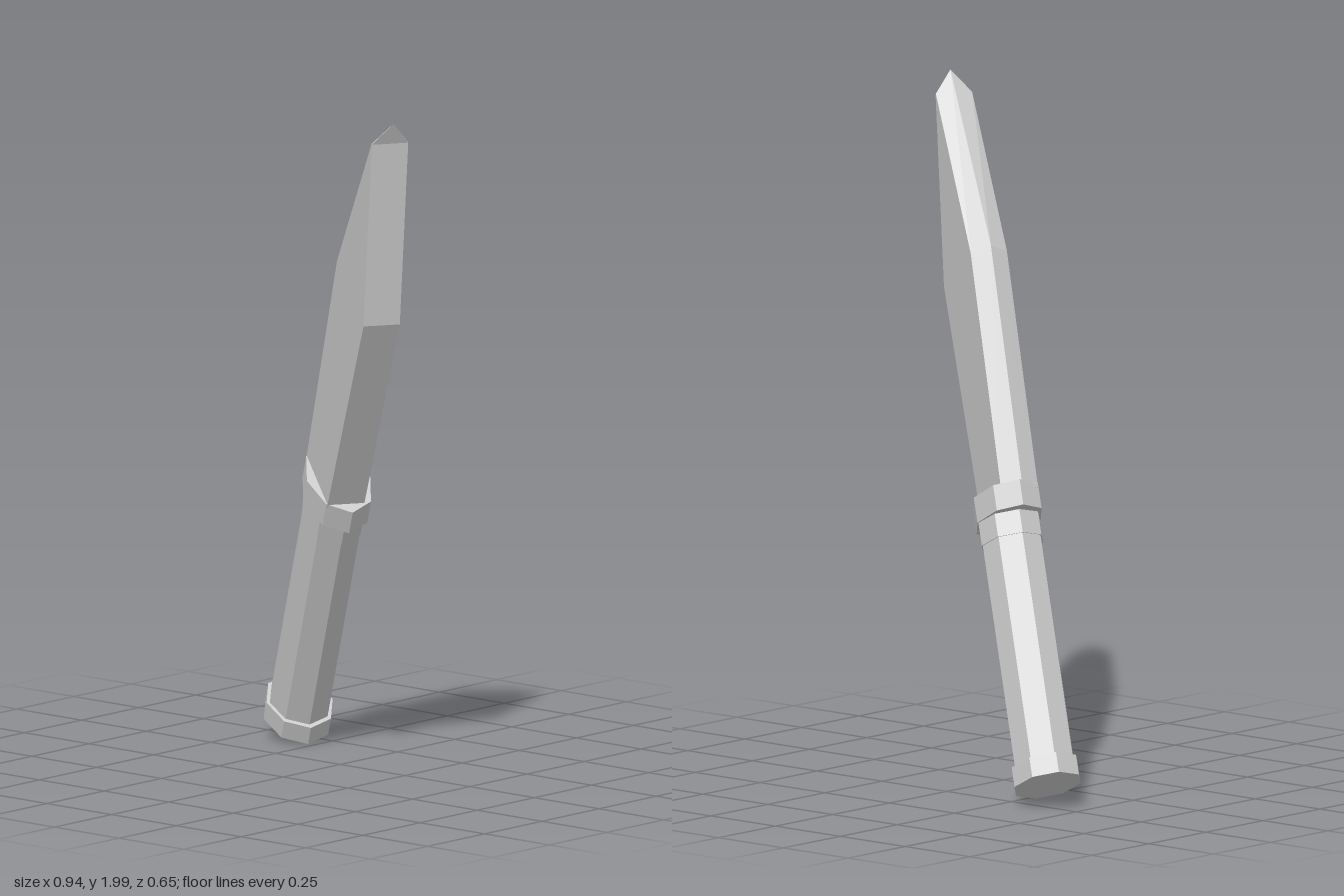
import * as THREE from 'three';

const material = new THREE.MeshStandardMaterial({ color: 0xcccccc, flatShading: true });

// Eight-sided oval block standing between two heights
function octagon(name, y0, y1, rx, rz) {
  const geometry = new THREE.CylinderGeometry(1, 1, y1 - y0, 8);
  geometry.scale(rx, 1, rz);
  geometry.translate(0, (y0 + y1) / 2, 0);
  const mesh = new THREE.Mesh(geometry, material);
  mesh.name = name;
  return mesh;
}

// Blade: five-sided sections with a flat back, parallel sides and a blunt ridge along the edge
function makeBlade() {
  const sections = [
    { ridge: [-0.145, 0.868], side: [-0.115, 0.866], back: [0.115, 0.87], half: 0.056 },
    { ridge: [-0.178, 1.588], side: [-0.149, 1.576], back: [0.149, 1.57], half: 0.055 },
    { ridge: [-0.037, 2.169], side: [-0.039, 2.097], back: [-0.035, 2.097], half: 0.055 },
  ];
  const middle = 0.009;
  const positions = [];
  for (const { ridge, side, back, half } of sections) {
    positions.push(...ridge, middle);
    positions.push(...side, middle + half, ...back, middle + half);
    positions.push(...back, middle - half, ...side, middle - half);
  }
  const index = [];
  const last = (sections.length - 1) * 5;
  // Sides between neighbouring sections
  for (let s = 0; s < last; s += 5) {
    for (let i = 0; i < 5; i++) {
      const a = s + i, b = s + (i + 1) % 5;
      index.push(a, b, b + 5, a, b + 5, a + 5);
    }
  }
  // End caps
  for (let i = 1; i < 4; i++) {
    index.push(0, i + 1, i, last, last + i, last + i + 1);
  }
  const indexed = new THREE.BufferGeometry();
  indexed.setAttribute('position', new THREE.Float32BufferAttribute(positions, 3));
  indexed.setIndex(index);
  const geometry = indexed.toNonIndexed();
  geometry.computeVertexNormals();
  const mesh = new THREE.Mesh(geometry, material);
  mesh.name = 'blade';
  return mesh;
}

export function createModel() {
  const model = new THREE.Group();
  model.name = 'knife';

  // The knife is built upright, then leaned and turned
  const knife = new THREE.Group();
  knife.name = 'tiltedKnife';
  knife.add(
    octagon('pommel', 0, 0.06, 0.126, 0.1),
    octagon('handle', 0.05, 0.81, 0.11, 0.09),
    octagon('collar', 0.735, 0.81, 0.113, 0.093),
    octagon('guard', 0.805, 0.882, 0.157, 0.096),
    makeBlade(),
  );
  knife.rotation.set(0, -0.548, -0.485, 'YXZ');
  knife.position.set(-0.366, 0.06, -0.224);
  model.add(knife);
  return model;
}
